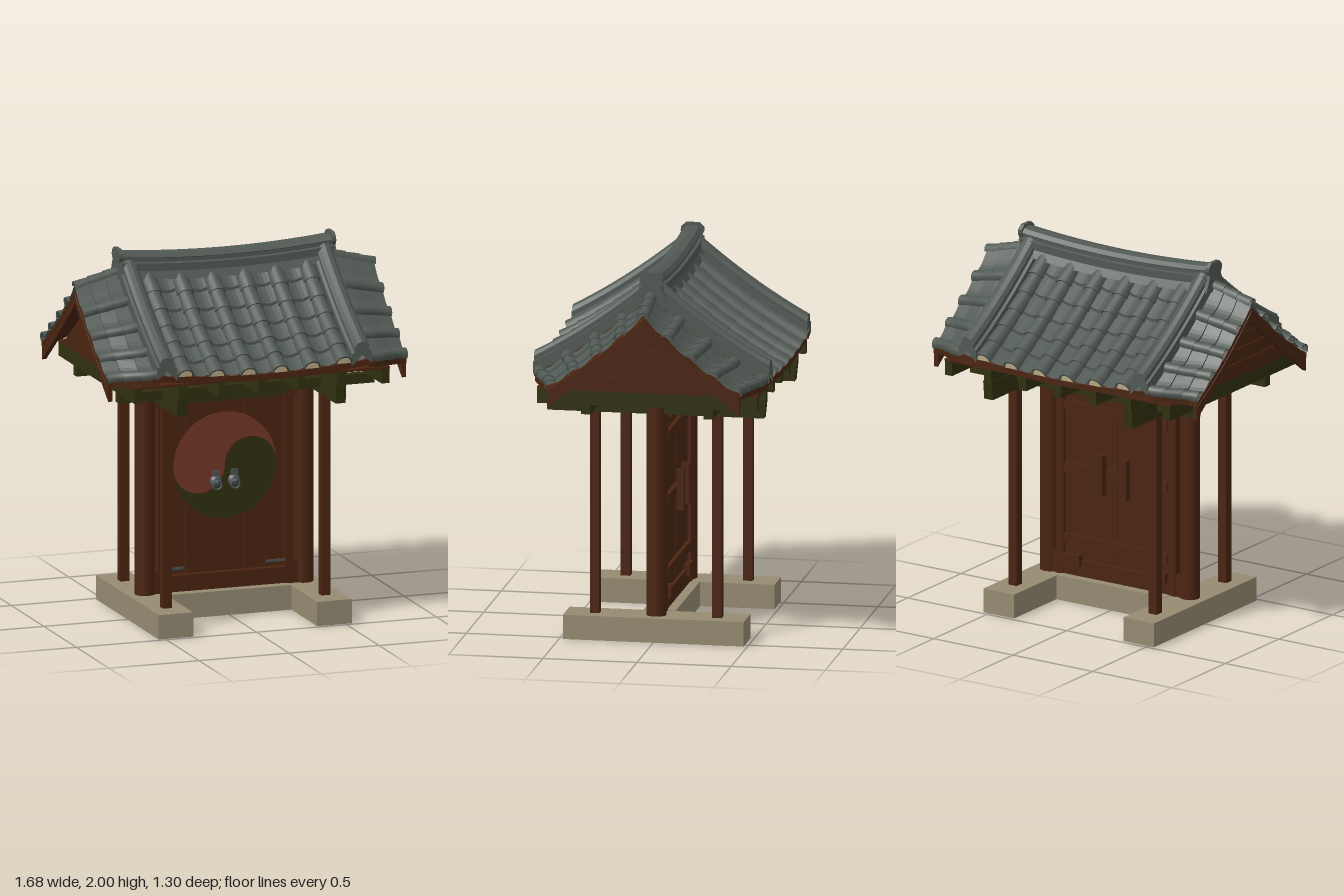
import * as THREE from 'three';
import { mergeGeometries } from 'three/addons/utils/BufferGeometryUtils.js';

const mat = (name, color, double) => {
  const m = new THREE.MeshStandardMaterial({ color });
  m.name = name;
  if (double) m.side = THREE.DoubleSide;
  return m;
};
const V = (x, y, z) => new THREE.Vector3(x, y, z);
const range = (n, f) => Array.from({ length: n }, (_, i) => f(i));

// Surface through rows of points; smooth unless flat is set
function loft(rows, flat = false) {
  const m = rows[0].length, idx = [];
  for (let i = 0; i < rows.length - 1; i++) for (let j = 0; j < m - 1; j++) {
    const a = i * m + j, b = a + 1, c = a + m, d = c + 1;
    idx.push(a, c, b, b, c, d);
  }
  let g = new THREE.BufferGeometry().setFromPoints(rows.flat());
  g.setIndex(idx);
  if (flat) g = g.toNonIndexed();
  g.computeVertexNormals();
  return g;
}

// Roof shape: v runs from back eave (-1) over the ridge (0) to front eave (1)
const EAVE = 0.62, PITCH = 0.176;
const prof = z => 1.85 - 0.86 * z + 0.26 * z * z;
const main = (x, v, o = 0) =>
  V(x, prof(Math.abs(v) * EAVE) + 0.035 * (x / 0.6) ** 2 + o, v * EAVE);
const wing = (s, u, v, o = 0) => {
  const a = Math.abs(v), k = u * u * (3 - 2 * u);
  return V(s * (0.58 + 0.25 * u), prof(a * EAVE) + 0.02 - u * (0.065 - 0.04 * a) + o, v * (EAVE - 0.11 * k));
};

// Row of overlapping half-round tiles along a path
function tileRoll(path, side, r, courses) {
  const ring = (t, rad) => {
    const tan = path(Math.min(t + 0.01, 1)).sub(path(Math.max(t - 0.01, 0))).normalize();
    const up = tan.clone().cross(side).normalize();
    if (up.y < 0) up.negate();
    const c = path(t);
    return range(9, j => c.clone().addScaledVector(side, rad * Math.cos(j * Math.PI / 8))
      .addScaledVector(up, rad * Math.sin(j * Math.PI / 8)));
  };
  const parts = [];
  for (let i = 0; i < courses; i++) {
    const a = i / courses, b = (i + 1) / courses;
    parts.push(loft([ring(a, r * 0.86), ring((a + b) / 2, r * 0.94), ring(b, r)]));
    parts.push(loft([ring(b, r), ring(b, r * 0.8)]));
  }
  return mergeGeometries(parts);
}

export function createModel() {
  const root = new THREE.Group();
  root.name = 'roofedGate';
  const wood = mat('dark brown wood', 0x4a2410, true);
  const green = mat('olive green paint', 0x30300f);
  const tile = mat('grey roof tile', 0x515954, true);
  const stone = mat('pale stone', 0x968b72);
  const cream = mat('cream plaster', 0xb5a684, true);
  const red = mat('dull red paint', 0x733726);
  const iron = mat('grey iron', 0x4c5254);

  const add = (name, geo, m, x = 0, y = 0, z = 0) => {
    const o = new THREE.Mesh(geo, m);
    o.name = name;
    o.position.set(x, y, z);
    root.add(o);
    return o;
  };
  // Box given by its limits
  const box = (name, m, x0, x1, y0, y1, z0, z1) =>
    add(name, new THREE.BoxGeometry(x1 - x0, y1 - y0, z1 - z0), m, (x0 + x1) / 2, (y0 + y1) / 2, (z0 + z1) / 2);
  // Outline in (z, y), extruded along x and centred on x
  const slab = (name, m, pts, x, depth) => {
    const g = new THREE.ExtrudeGeometry(new THREE.Shape(pts.map(p => new THREE.Vector2(...p))), { depth, bevelEnabled: false });
    g.translate(0, 0, -depth / 2).rotateY(-Math.PI / 2);
    return add(name, g, m, x);
  };

  // Stone footing
  box('thresholdStone', stone, -0.345, 0.345, 0, 0.133, -0.085, 0.085);
  for (const s of [-1, 1]) {
    const c = s * 0.44;
    box('footingStone', stone, c - 0.096, c + 0.096, 0, 0.13, -0.48, 0.48);

    // Columns and slim posts
    add('column', new THREE.CylinderGeometry(0.053, 0.053, 1.18, 20), wood, c, 0.72, 0);
    for (const z of [-0.325, 0.325]) box('slimPost', wood, c - 0.025, c + 0.025, 0.13, 1.25, z - 0.025, z + 0.025);

    // Cross beam with slanted ends
    slab('crossBeam', green, [[-0.575, 1.21], [0.575, 1.21], [0.585, 1.31], [-0.585, 1.31]], c, 0.055);
    // Door frame sides
    box('doorJamb', wood, s * 0.3525 - 0.0225, s * 0.3525 + 0.0225, 0.13, 1.25, -0.04, 0.035);
    for (const [y0, y1] of [[0.13, 0.25], [1.14, 1.25]])
      box('jambBlock', wood, s * 0.385 - 0.015, s * 0.385 + 0.015, y0, y1, -0.035, 0.03);

    // Door leaf made of planks on a backing
    box('doorBacking', wood, s * 0.165 - 0.163, s * 0.165 + 0.163, 0.225, 1.14, -0.02, 0);
    for (let i = 0; i < 3; i++) {
      const x = s * (0.055 + i * 0.11);
      box('doorPlank', wood, x - 0.053, x + 0.053, 0.225, 1.14, 0, 0.01);
      for (const dx of [-0.03, 0.03]) {
        const n = add('nailHead', new THREE.CylinderGeometry(0.004, 0.004, 0.006, 8), wood, x + dx, 0.305, 0.012);
        n.rotation.x = Math.PI / 2;
      }
    }
    box('hingeStrap', iron, s * 0.28 - 0.05, s * 0.28 + 0.05, 0.247, 0.261, 0.01, 0.015);

    // Door pull: boss, stud, lug and ring
    const boss = add('pullBoss', new THREE.CylinderGeometry(0.02, 0.034, 0.018, 16), iron, s * 0.05, 0.705, 0.023);
    boss.rotation.x = Math.PI / 2;
    add('pullStud', new THREE.SphereGeometry(0.014, 12, 8), iron, s * 0.05, 0.705, 0.034);
    box('pullLug', iron, s * 0.05 - 0.02, s * 0.05 + 0.02, 0.735, 0.765, 0.01, 0.025);
    add('pullRing', new THREE.TorusGeometry(0.024, 0.005, 8, 20), iron, s * 0.05, 0.69, 0.038);

    // Back latch bars and pivot blocks
    box('latchBar', wood, s * 0.075 - 0.016, s * 0.075 + 0.016, 0.61, 0.83, -0.08, -0.04);
    box('pivotBlock', wood, s * 0.27 - 0.05, s * 0.27 + 0.05, 0.19, 0.25, -0.055, -0.02);
    box('topPivot', wood, s * 0.27 - 0.04, s * 0.27 + 0.04, 1.16, 1.21, -0.055, -0.02);
  }
  for (const y of [0.33, 0.72, 1.06]) box('backRail', wood, -0.325, 0.325, y - 0.025, y + 0.025, -0.042, -0.02);
  box('doorSill', wood, -0.34, 0.34, 0.13, 0.22, -0.035, 0.03);
  box('headBoard', wood, -0.34, 0.34, 1.21, 1.25, -0.035, 0.03);
  box('doorLintel', green, -0.33, 0.33, 1.14, 1.21, -0.03, 0.025);

  // Painted disc of two interlocking halves
  const R = 0.285;
  for (const [name, m, turn] of [['upperSwirl', red, 0], ['lowerSwirl', green, Math.PI]]) {
    const sh = new THREE.Shape();
    sh.absarc(0, 0, R, 0, Math.PI, false);
    sh.absarc(-R / 2, 0, R / 2, Math.PI, 2 * Math.PI, false);
    sh.absarc(R / 2, 0, R / 2, Math.PI, 0, true);
    const g = new THREE.ExtrudeGeometry(sh, { depth: 0.004, bevelEnabled: false, curveSegments: 32 });
    add(name, g, m, 0, 0.79, 0.0095).rotation.z = turn;
  }

  // Roof frame: purlins, rafters and boarding
  for (const z of [-0.325, 0.325]) box('purlin', green, -0.71, 0.71, 1.25, 1.302, z - 0.025, z + 0.025);
  box('centreBeam', green, -0.44, 0.44, 1.25, 1.302, -0.03, 0.03);
  for (const x of [-0.685, -0.44, -0.22, 0, 0.22, 0.44, 0.685])
    box('rafter', green, x - 0.022, x + 0.022, 1.3, 1.378, -0.585, 0.585);
  box('ceilingBoard', wood, -0.71, 0.71, 1.376, 1.388, -0.585, 0.585);

  // Gable boards and barge boards
  for (const s of [-1, 1]) {
    for (let i = 0; i < 5; i++) {
      const y0 = 1.385 + i * 0.074, y1 = y0 + 0.07;
      const w = y => Math.max(0.002, 0.5 * (1.755 - y) / 0.37);
      slab('gableBoard', wood, [[-w(y0), y0], [w(y0), y0], [w(y1), y1], [-w(y1), y1]], s * 0.7, 0.03);
    }
    slab('bargeBoard', wood, [[0, 1.79], [-0.25, 1.575], [-0.51, 1.395], [-0.51, 1.305], [-0.25, 1.505],
      [0, 1.715], [0.25, 1.505], [0.51, 1.305], [0.51, 1.395], [0.25, 1.575]], s * 0.815, 0.024);
  }

  // Boarded underside with an eave lip
  const span = [[-1, -0.004], ...range(21, i => [-1 + i / 10, -0.035]), [1, -0.004]];
  add('roofUnderside', loft(span.map(([v, o]) => range(17, j => main(-0.6 + j * 0.075, v, o))), true), wood);
  for (const s of [-1, 1])
    add('wingUnderside', loft(span.map(([v, o]) => range(7, j => wing(s, j / 6, v, o))), true), wood);

  // Main slopes: stepped pan tiles, roll tiles and plugged eave ends
  const N = 6;
  for (const s of [-1, 1]) {
    const rows = range(N * 2, i => {
      const low = i % 2, v = s * (Math.floor(i / 2) + low) / N;
      return range(57, j => {
        const x = -0.588 + j * 0.021;
        return main(x, v, low * 0.016 + 0.012 * Math.cos(2 * Math.PI * (x - PITCH / 2) / PITCH) - 0.006);
      });
    });
    add('panTiles', loft(rows, true), tile);
    for (let i = 0; i < 6; i++) {
      const x = (i - 2.5) * PITCH;
      add('rollTiles', tileRoll(t => main(x, s * (0.06 + 0.95 * t), 0.004), V(1, 0, 0), 0.047, N), tile);
      const p = main(x, s * 1.008, 0.002);
      add('eavePlug', new THREE.CircleGeometry(0.038, 12, 0, Math.PI), cream, p.x, p.y, p.z);
    }
    // Descending ridges
    const sec = [[-0.055, -0.02], [-0.055, 0.045], [-0.04, 0.05], [-0.04, 0.075], [-0.025, 0.095], [0, 0.103],
      [0.025, 0.095], [0.04, 0.075], [0.04, 0.05], [0.055, 0.045], [0.055, -0.02]];
    for (const e of [-1, 1]) {
      const rings = range(13, i => sec.map(([dx, dy]) => main(e * 0.54 + dx, s * (0.02 + 0.99 * i / 12), dy)));
      rings.push(sec.map(() => main(e * 0.54, s * 1.01, 0.03)));
      add('descendingRidge', loft(rings, true), tile);
    }
  }

  // Side wings: tiles run outward
  for (const s of [-1, 1]) {
    const rows = range(6, i => {
      const low = i % 2, u = (Math.floor(i / 2) + low) / 3;
      return range(65, j => {
        const v = -1 + j / 32;
        return wing(s, u, v, low * 0.012 + 0.008 * Math.cos(2 * Math.PI * v * 4) - 0.006);
      });
    });
    add('wingPanTiles', loft(rows, true), tile);
    for (let i = -4; i <= 4; i++) {
      const v = i * 0.24;
      const slope = i ? Math.sign(i) * -0.65 : 0;
      add('wingRollTiles', tileRoll(t => wing(s, t, v, 0), V(0, slope, 1).normalize(), 0.034, 3), tile);
    }
  }

  // Main ridge, sagging in the middle, with end ornaments
  const half = [[0.085, 1.82], [0.062, 1.86], [0.062, 1.9], [0.046, 1.905], [0.046, 1.925], [0.054, 1.93], [0.036, 1.95]];
  const ridgeSec = [...half, [0, 1.957], ...half.slice().reverse().map(([z, y]) => [-z, y])];
  add('mainRidge', loft(range(17, i => {
    const x = -0.59 + i * 1.18 / 16;
    return ridgeSec.map(([z, y]) => V(x, y + 0.03 * (x / 0.59) ** 2, z));
  }), true), tile);
  for (const s of [-1, 1])
    slab('ridgeEnd', tile, [[-0.085, 1.84], [0.085, 1.84], [0.05, 1.93], [0.062, 1.955], [0.06, 1.975], [0.035, 1.998],
      [-0.035, 1.998], [-0.06, 1.975], [-0.062, 1.955], [-0.05, 1.93]], s * 0.59, 0.022);

  return root;
}
